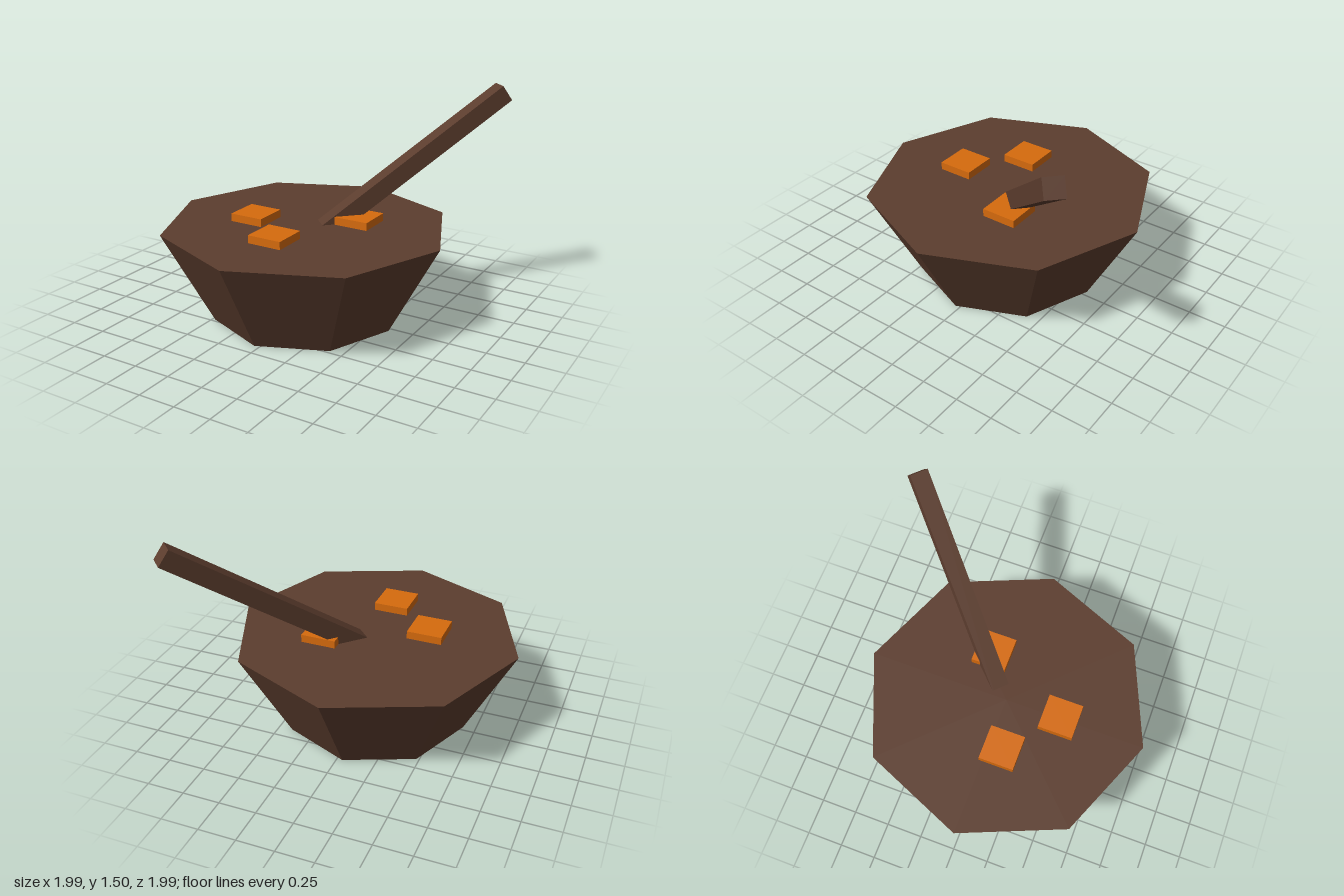
import * as THREE from 'three';

const CX = -0.037, CZ = 0.033, TOP = 0.627;

export function createModel() {
  const model = new THREE.Group();
  const wood = new THREE.MeshStandardMaterial({ name: 'dark wood', color: 0x5c3d2e });
  const orange = new THREE.MeshStandardMaterial({ name: 'orange', color: 0xd66b0d });

  const add = (name, geometry, material, x, y, z) => {
    const mesh = new THREE.Mesh(geometry.toNonIndexed(), material);
    mesh.geometry.computeVertexNormals(); // faceted sides
    mesh.name = name;
    mesh.position.set(x, y, z);
    model.add(mesh);
    return mesh;
  };

  // Eight-sided filled bowl, wider at the rim
  add('bowl', new THREE.CylinderGeometry(0.963, 0.628, TOP, 8), wood, CX, TOP / 2, CZ);

  // Square chunks floating just above the surface
  const chunk = new THREE.BoxGeometry(0.237, 0.12, 0.237);
  [[-0.373, 0.128], [-0.037, 0.417], [0.255, -0.163]].forEach(([x, z], i) =>
    add(`chunk${i + 1}`, chunk, orange, x, 0.62, z));

  // Square handle leaning equally to the left and the back, its foot sunk in the bowl
  const length = 1.64;
  const axis = new THREE.Vector3(1, 1, -1).normalize();
  const side = new THREE.Vector3(1, 0, 1).normalize();
  const end = new THREE.Vector3(0.928, 1.449, -0.928);
  const mid = end.addScaledVector(axis, -length / 2);
  const handle = add('spoonHandle', new THREE.BoxGeometry(0.12, length, 0.12), wood, mid.x, mid.y, mid.z);
  const basis = new THREE.Matrix4().makeBasis(side, axis, side.clone().cross(axis));
  handle.quaternion.setFromRotationMatrix(basis);

  return model;
}
